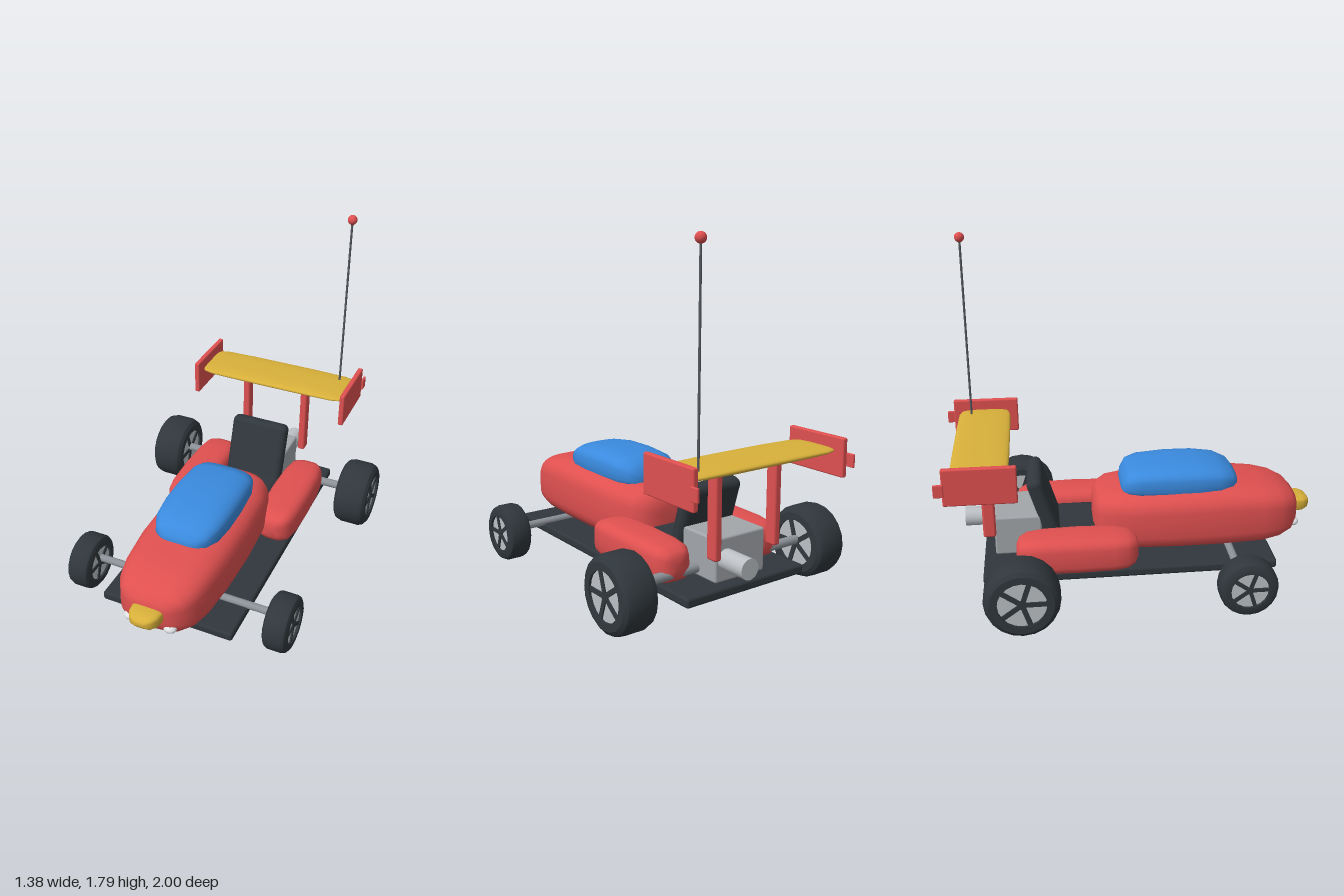
import * as THREE from 'three';
import { toCreasedNormals } from 'three/addons/utils/BufferGeometryUtils.js';
import { RoundedBoxGeometry } from 'three/addons/geometries/RoundedBoxGeometry.js';

const mat = (name, color) => {
  const m = new THREE.MeshStandardMaterial({ color });
  m.name = name;
  return m;
};

// Smooth closed shell through cross-sections [z, halfWidth, yBottom, yTop]
function loft(stations, power = 3.5, sides = 32) {
  const pos = [], idx = [];
  const bend = v => Math.sign(v) * Math.pow(Math.abs(v), 2 / power);
  for (const [z, hw, y0, y1] of stations) {
    for (let j = 0; j < sides; j++) {
      const a = (j / sides) * Math.PI * 2;
      pos.push(hw * bend(Math.cos(a)), (y0 + y1) / 2 + ((y1 - y0) / 2) * bend(Math.sin(a)), z);
    }
  }
  const last = stations.length - 1;
  for (const i of [0, last]) pos.push(0, (stations[i][2] + stations[i][3]) / 2, stations[i][0]);
  const back = stations.length * sides, front = back + 1;
  for (let j = 0; j < sides; j++) {
    const k = (j + 1) % sides;
    for (let i = 0; i < last; i++) {
      const a = i * sides + j, b = i * sides + k;
      idx.push(a, b, b + sides, a, b + sides, a + sides);
    }
    idx.push(back, k, j, front, last * sides + j, last * sides + k);
  }
  const g = new THREE.BufferGeometry();
  g.setAttribute('position', new THREE.Float32BufferAttribute(pos, 3));
  g.setIndex(idx);
  g.computeVertexNormals();
  return g;
}

export function createModel() {
  const red = mat('red paint', 0xe05050);
  const blue = mat('blue canopy', 0x3a8ade);
  const yellow = mat('yellow paint', 0xd8b03a);
  const dark = mat('dark rubber', 0x30373c);
  const steel = mat('steel', 0x8c9298);
  const silver = mat('silver rim', 0xbcc0c4);
  const engineGrey = mat('engine grey', 0xa2a6aa);
  const white = mat('lamp white', 0xdde1e4);
  const rod = mat('antenna grey', 0x565b60);

  const model = new THREE.Group();
  const add = (name, geo, material, x = 0, y = 0, z = 0, parent = model) => {
    const m = new THREE.Mesh(geo, material);
    m.name = name;
    m.position.set(x, y, z);
    parent.add(m);
    return m;
  };
  const box = (w, h, d, r = 0.01) => new RoundedBoxGeometry(w, h, d, 2, r);

  add('chassis', box(0.74, 0.05, 1.54, 0.015), dark, 0, 0.14, -0.03);

  // Body shell, canopy and nose
  add('body', loft([
    [-0.212, 0.07, 0.25, 0.38], [-0.205, 0.125, 0.21, 0.425], [-0.18, 0.175, 0.18, 0.462],
    [-0.13, 0.212, 0.166, 0.485], [0, 0.245, 0.16, 0.496], [0.25, 0.26, 0.158, 0.508],
    [0.5, 0.257, 0.158, 0.508], [0.7, 0.24, 0.16, 0.49], [0.8, 0.217, 0.175, 0.468],
    [0.87, 0.175, 0.2, 0.435], [0.905, 0.12, 0.23, 0.4], [0.916, 0.06, 0.27, 0.36],
  ]), red);
  add('canopy', loft([
    [-0.06, 0.08, 0.47, 0.51], [-0.05, 0.125, 0.46, 0.545], [-0.02, 0.16, 0.45, 0.59],
    [0.04, 0.18, 0.44, 0.61], [0.2, 0.19, 0.43, 0.621], [0.35, 0.19, 0.43, 0.619],
    [0.47, 0.178, 0.44, 0.603], [0.54, 0.145, 0.45, 0.572], [0.57, 0.1, 0.46, 0.535],
    [0.577, 0.06, 0.47, 0.51],
  ], 3), blue);
  add('nose', loft([
    [0.85, 0.08, 0.29, 0.36], [0.91, 0.086, 0.284, 0.367], [0.955, 0.08, 0.286, 0.365],
    [0.985, 0.06, 0.296, 0.356], [0.998, 0.035, 0.308, 0.342], [1, 0.015, 0.318, 0.332],
  ], 4, 24), yellow);

  // Seat with a backrest leaning to the rear
  add('seatBase', box(0.36, 0.12, 0.3, 0.04), dark, 0, 0.235, -0.33);
  add('seatBack', box(0.34, 0.36, 0.085, 0.035), dark, 0, 0.42, -0.477).rotation.x = -0.3;

  // Engine and exhaust
  add('engine', box(0.31, 0.22, 0.25, 0.012), engineGrey, 0, 0.275, -0.615);
  add('exhaust', new THREE.CylinderGeometry(0.052, 0.052, 0.2, 20).rotateX(Math.PI / 2),
    silver, 0.09, 0.277, -0.805);

  // Axles
  const axle = (name, r, length, y, z) =>
    add(name, new THREE.CylinderGeometry(r, r, length, 12).rotateZ(Math.PI / 2), steel, 0, y, z);
  axle('frontAxle', 0.021, 1.06, 0.17, 0.515);
  axle('rearAxle', 0.024, 1.06, 0.205, -0.6);

  // Wheel built around a y axis, then laid along x
  function wheel(name, R, width, x, z) {
    const g = new THREE.Group();
    g.name = name;
    const w = width / 2, hole = 0.64 * R;
    const profile = [[hole, -w], [0.84 * R, -w], [0.95 * R, -0.84 * w], [R, -0.55 * w], [R, 0.55 * w],
      [0.95 * R, 0.84 * w], [0.84 * R, w], [hole, w], [hole, -w]].map(p => new THREE.Vector2(...p));
    add('tyre', toCreasedNormals(new THREE.LatheGeometry(profile, 20), 0.6), dark, 0, 0, 0, g);
    const face = w - 0.012;
    add('rim', new THREE.CylinderGeometry(hole, hole, face * 2, 20), silver, 0, 0, 0, g);
    for (const s of [-1, 1]) {
      add('hub', new THREE.CylinderGeometry(0.13 * R, 0.13 * R, 0.009, 12), dark, 0, s * (face + 0.004), 0, g);
      for (let i = 0; i < 5; i++) {
        const spoke = new THREE.BoxGeometry(0.13 * R, 0.008, hole).translate(0, 0, hole / 2);
        add('spoke', spoke.rotateY((i * Math.PI * 2) / 5), dark, 0, s * (face + 0.003), 0, g);
      }
    }
    g.rotation.z = -Math.PI / 2;
    g.position.set(x, R, z);
    model.add(g);
  }

  // Spoiler blade, lofted along x
  add('wing', loft([
    [-0.445, 0.11, -0.008, 0.008], [-0.43, 0.13, -0.014, 0.013], [-0.38, 0.142, -0.019, 0.017],
    [-0.2, 0.145, -0.023, 0.022], [0.2, 0.145, -0.023, 0.022], [0.38, 0.142, -0.019, 0.017],
    [0.43, 0.13, -0.014, 0.013], [0.445, 0.11, -0.008, 0.008],
  ], 2.6).rotateY(Math.PI / 2), yellow, 0, 0.76, -0.785);

  // Mirrored parts
  const podSections = [
    [-0.625, 0.04, 0.2, 0.29], [-0.61, 0.075, 0.172, 0.318], [-0.57, 0.1, 0.152, 0.337],
    [-0.48, 0.113, 0.146, 0.345], [-0.3, 0.118, 0.145, 0.347], [-0.12, 0.113, 0.146, 0.343],
    [-0.05, 0.1, 0.152, 0.334], [-0.01, 0.075, 0.172, 0.316], [0.006, 0.04, 0.2, 0.29],
  ];
  for (const s of [1, -1]) {
    const side = s > 0 ? 'left' : 'right';
    wheel(side + 'FrontWheel', 0.152, 0.13, s * 0.565, 0.535);
    wheel(side + 'RearWheel', 0.19, 0.185, s * 0.597, -0.6);
    add(side + 'SidePod', loft(podSections, 3.5, 24), red, s * 0.282);
    add(side + 'Headlight', new THREE.SphereGeometry(1, 20, 12).scale(0.035, 0.022, 0.03),
      white, s * 0.11, 0.25, 0.892);
    add(side + 'WingPost', box(0.042, 0.45, 0.066, 0.012), red, s * 0.185, 0.525, -0.763);
    add(side + 'EndPlate', box(0.03, 0.195, 0.36, 0.008), red, s * 0.458, 0.728, -0.78);
    add(side + 'EndPlateTab', box(0.014, 0.066, 0.05, 0.004), red, s * 0.477, 0.718, -0.975);
  }

  // Antenna
  add('antennaRod', new THREE.CylinderGeometry(0.006, 0.006, 1, 10), rod, 0.362, 1.265, -0.857);
  add('antennaBall', new THREE.SphereGeometry(0.026, 20, 14), red, 0.362, 1.767, -0.857);

  return model;
}
